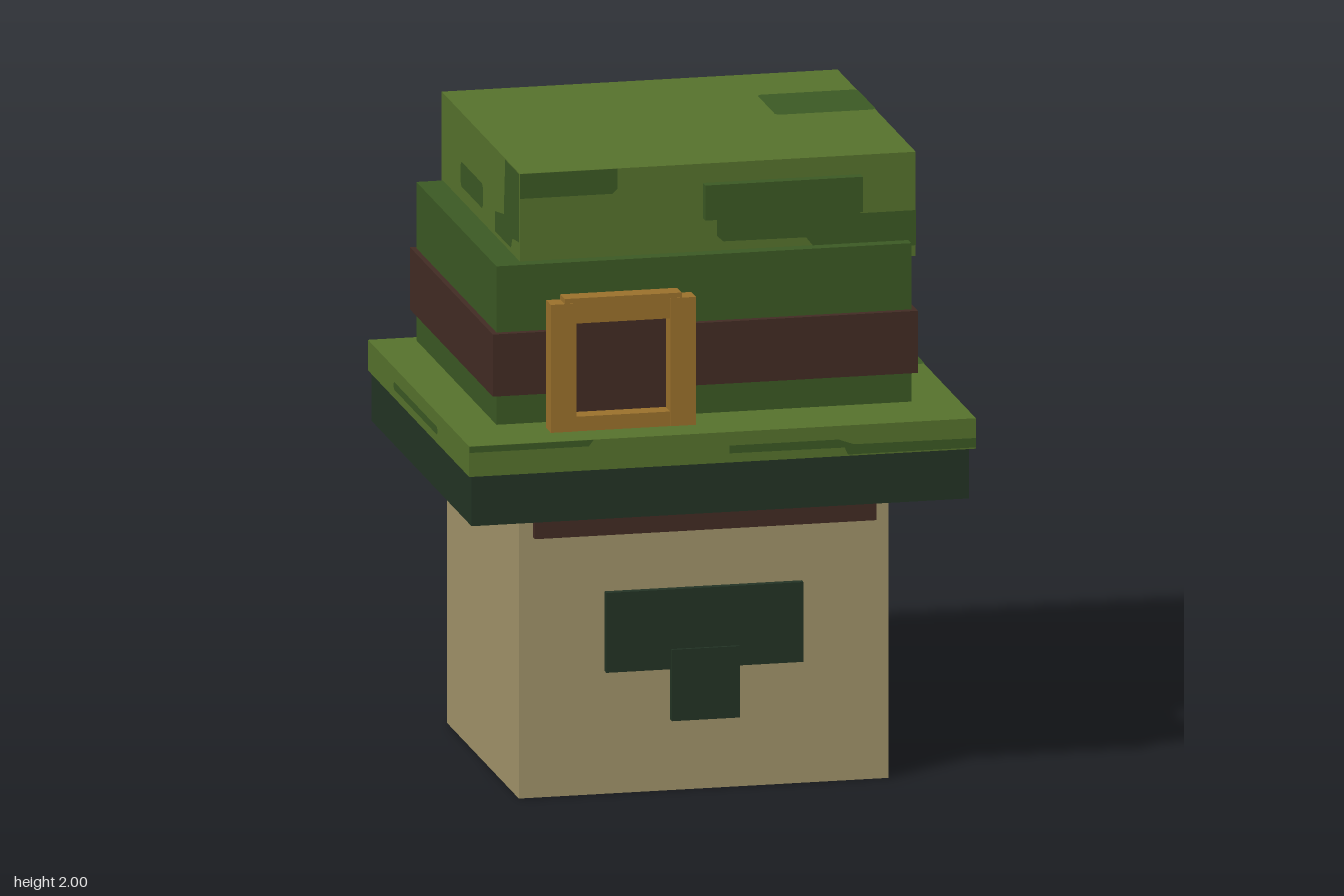
import * as THREE from 'three';

const mat = (name, color) => {
  const m = new THREE.MeshStandardMaterial({ color });
  m.name = name;
  return m;
};

export function createModel() {
  const model = new THREE.Group();
  model.name = 'hattedHead';
  const leaf = mat('leafGreen', 0x57732d);
  const moss = mat('mossGreen', 0x3c5a24);
  const pine = mat('pineGreen', 0x233425);
  const brown = mat('brown', 0x432c24);
  const tan = mat('tan', 0xa3956b);
  const gold = mat('gold', 0x9c722c);

  // Box given by its extents along each axis
  const box = (name, material, [x0, x1], [y0, y1], [z0, z1], parent = model) => {
    const mesh = new THREE.Mesh(new THREE.BoxGeometry(x1 - x0, y1 - y0, z1 - z0), material);
    mesh.position.set((x0 + x1) / 2, (y0 + y1) / 2, (z0 + z1) / 2);
    mesh.name = name;
    parent.add(mesh);
  };

  // Head and face
  box('head', tan, [-0.595, 0.59], [0, 0.95], [-0.547, 0.453]);
  box('brow', brown, [-0.55, 0.545], [0.84, 0.927], [0.453, 0.484]);
  box('moustache', pine, [-0.32, 0.312], [0.395, 0.652], [0.453, 0.477]);
  box('chinTuft', pine, [-0.112, 0.106], [0.23, 0.46], [0.46, 0.487]);

  // Hat tiers
  box('brimUnderside', pine, [-0.8, 0.795], [0.945, 1.157], [-0.706, 0.685]);
  box('brim', leaf, [-0.813, 0.811], [1.11, 1.208], [-0.7, 0.709]);
  box('hatBody', moss, [-0.667, 0.663], [1.2, 1.718], [-0.66, 0.455]);
  box('hatBand', brown, [-0.684, 0.678], [1.305, 1.505], [-0.675, 0.478]);
  box('crown', leaf, [-0.582, 0.687], [1.665, 2], [-0.676, 0.41]);
  box('crownFold', moss, [0.005, 0.51], [1.825, 1.938], [0.41, 0.445]);

  // Buckle with a recessed centre
  const buckle = new THREE.Group();
  buckle.name = 'buckle';
  model.add(buckle);
  const bz = [0.53, 0.595];
  box('buckleBacking', brown, [-0.46, -0.125], [1.238, 1.575], [0.478, 0.532], buckle);
  box('buckleSideBar', gold, [-0.525, -0.443], [1.208, 1.62], bz, buckle);
  box('buckleSideBar', gold, [-0.142, -0.06], [1.208, 1.62], bz, buckle);
  box('buckleTopBar', gold, [-0.48, -0.105], [1.555, 1.636], [0.53, 0.593], buckle);
  box('buckleBottomBar', gold, [-0.48, -0.105], [1.208, 1.255], [0.53, 0.593], buckle);

  // Moss patches: flat shapes just off a face, points in world axes (a, b)
  const faces = {
    front: { rot: [0, 0, 0], sign: [1, 1], axis: 'z', out: 1 },
    back: { rot: [0, Math.PI, 0], sign: [-1, 1], axis: 'z', out: -1 },
    leftSide: { rot: [0, Math.PI / 2, 0], sign: [-1, 1], axis: 'x', out: 1 },
    rightSide: { rot: [0, -Math.PI / 2, 0], sign: [1, 1], axis: 'x', out: -1 },
    top: { rot: [-Math.PI / 2, 0, 0], sign: [1, -1], axis: 'y', out: 1 },
  };
  const patch = (face, level, points) => {
    const { rot, sign, axis, out } = faces[face];
    const shape = new THREE.Shape(points.map(([a, b]) => new THREE.Vector2(a * sign[0], b * sign[1])));
    const mesh = new THREE.Mesh(new THREE.ShapeGeometry(shape), moss);
    mesh.rotation.set(...rot);
    mesh.position[axis] = level + out * 0.003;
    mesh.name = face + 'MossPatch';
    model.add(mesh);
  };
  // Rectangle with small cut corners
  const chip = (a0, a1, b0, b1, c = 0.012) => [
    [a0 + c, b0], [a1 - c, b0], [a1, b0 + c], [a1, b1 - c],
    [a1 - c, b1], [a0 + c, b1], [a0, b1 - c], [a0, b0 + c],
  ];

  // Crown patches
  patch('front', 0.41, [[-0.582, 1.92], [-0.285, 1.92], [-0.27, 1.935], [-0.27, 2], [-0.582, 2]]);
  patch('front', 0.41, [[0.05, 1.765], [0.07, 1.747], [0.335, 1.745], [0.355, 1.72], [0.37, 1.7],
    [0.687, 1.7], [0.687, 1.813], [0.51, 1.813], [0.5, 1.828], [0.05, 1.828]]);
  patch('leftSide', 0.687, [[0.41, 1.932], [0.16, 1.932], [0.14, 1.92], [-0.12, 1.92],
    [-0.135, 1.935], [-0.135, 2], [0.41, 2]]);
  patch('leftSide', 0.687, [[-0.676, 1.753], [-0.676, 1.835], [-0.415, 1.835], [-0.4, 1.822],
    [-0.4, 1.775], [-0.42, 1.753]]);
  patch('back', -0.676, [[0.687, 1.835], [0.41, 1.835], [0.39, 1.85], [0.39, 1.88], [0.41, 1.893], [0.687, 1.893]]);
  patch('rightSide', -0.582, chip(-0.4, -0.09, 1.765, 1.845));
  patch('rightSide', -0.582, [[0.08, 1.735], [0.3, 1.735], [0.32, 1.77], [0.41, 1.78], [0.41, 2],
    [0.22, 2], [0.2, 1.82], [0.08, 1.8]]);
  patch('top', 2, chip(0.365, 0.687, -0.402, -0.138));

  // Brim patches
  patch('top', 1.208, [[0.66, -0.345], [0.811, -0.345], [0.811, 0], [0.66, 0]]);
  patch('front', 0.709, [[-0.813, 1.188], [-0.43, 1.188], [-0.415, 1.208], [-0.813, 1.208]]);
  patch('front', 0.709, [[0.02, 1.14], [0.39, 1.138], [0.4, 1.115], [0.811, 1.115], [0.811, 1.145],
    [0.42, 1.147], [0.37, 1.165], [0.02, 1.165]]);
  patch('leftSide', 0.811, [[0.36, 1.186], [0.02, 1.186], [0.005, 1.208], [0.375, 1.208]]);
  patch('leftSide', 0.811, [[-0.7, 1.135], [-0.39, 1.135], [-0.375, 1.155], [-0.7, 1.157]]);
  patch('rightSide', -0.813, chip(-0.33, 0.28, 1.14, 1.165, 0.008));

  return model;
}
